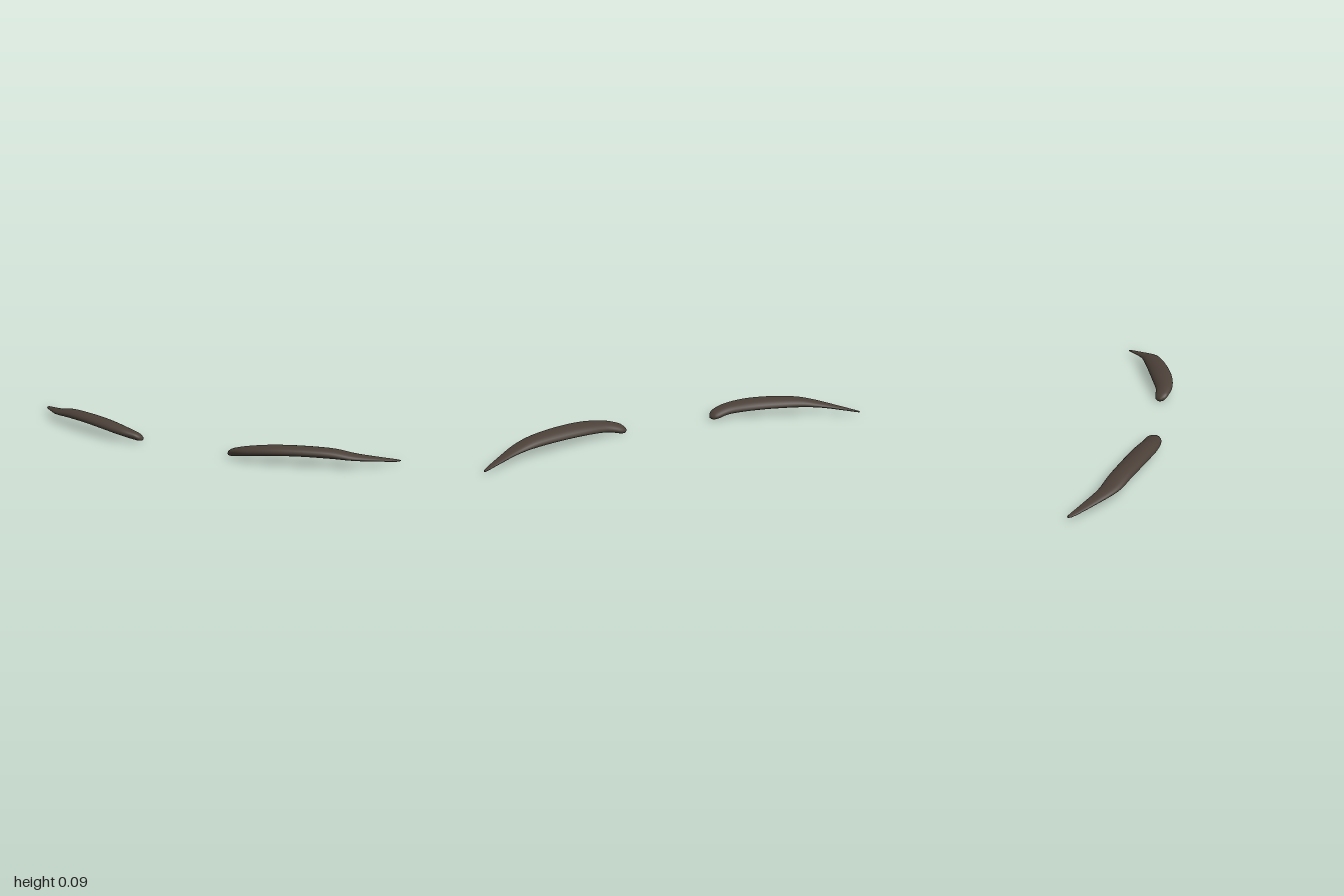
import * as THREE from 'three';

// Stations from inner end to outer tip:
// x, front edge z, y, back edge z, y, top y, underside y
const STATIONS = [
  [0.235, 0.106, 0.012, 0.094, 0.012, 0.018, 0.007],
  [0.245, 0.126, 0.02, 0.08, 0.011, 0.03, 0.002],
  [0.27, 0.14, 0.032, 0.07, 0.017, 0.045, 0.003],
  [0.34, 0.155, 0.045, 0.066, 0.034, 0.066, 0.018],
  [0.45, 0.146, 0.058, 0.035, 0.045, 0.082, 0.031],
  [0.58, 0.112, 0.064, 0.0, 0.05, 0.087, 0.037],
  [0.72, 0.064, 0.06, -0.038, 0.05, 0.081, 0.035],
  [0.82, 0.022, 0.046, -0.068, 0.038, 0.06, 0.03],
  [0.91, -0.055, 0.03, -0.115, 0.026, 0.038, 0.02],
  [0.985, -0.128, 0.016, -0.157, 0.015, 0.02, 0.011],
  [1.0, -0.152, 0.013, -0.158, 0.013, 0.015, 0.011],
];

const RINGS = 60;
const SIDES = 28;

// Smooth guide line through all stations
function guide(pick) {
  return new THREE.CatmullRomCurve3(
    STATIONS.map((s) => new THREE.Vector3(...pick(s))), false, 'catmullrom', 0.5);
}

// Loft of tilted oval sections; side is +1 or -1
function browGeometry(side) {
  const front = guide((s) => [s[0], s[2], s[1]]);
  const back = guide((s) => [s[0], s[4], s[3]]);
  const top = guide((s) => [s[0], s[5], (s[1] + s[3]) / 2]);
  const under = guide((s) => [s[0], s[6], (s[1] + s[3]) / 2]);
  const positions = [];
  const indices = [];
  const centres = [];
  const add = (p) => positions.push(p.x * side, p.y, p.z);
  const face = (a, b, c) => (side > 0 ? indices.push(a, b, c) : indices.push(a, c, b));

  for (let i = 0; i <= RINGS; i++) {
    const t = i / RINGS;
    const f = front.getPoint(t);
    const b = back.getPoint(t);
    const centre = f.clone().add(b).multiplyScalar(0.5);
    const across = f.clone().sub(centre);
    const up = top.getPoint(t).sub(centre);
    const down = under.getPoint(t).sub(centre);
    centres.push(centre);
    for (let j = 0; j < SIDES; j++) {
      const a = (j / SIDES) * Math.PI * 2;
      const s = Math.sin(a);
      add(centre.clone()
        .addScaledVector(across, Math.cos(a))
        .addScaledVector(s > 0 ? up : down, Math.abs(s)));
    }
  }
  for (let i = 0; i < RINGS; i++) {
    for (let j = 0; j < SIDES; j++) {
      const k = (j + 1) % SIDES;
      const a = i * SIDES + j, d = i * SIDES + k;
      face(a, a + SIDES, d);
      face(a + SIDES, d + SIDES, d);
    }
  }
  // Close both ends
  const inner = positions.length / 3;
  add(centres[0]);
  add(centres[RINGS]);
  for (let j = 0; j < SIDES; j++) {
    const k = (j + 1) % SIDES;
    face(inner, j, k);
    face(inner + 1, RINGS * SIDES + k, RINGS * SIDES + j);
  }
  const geometry = new THREE.BufferGeometry();
  geometry.setAttribute('position', new THREE.Float32BufferAttribute(positions, 3));
  geometry.setIndex(indices);
  geometry.computeVertexNormals();
  return geometry;
}

export function createModel() {
  const group = new THREE.Group();
  group.name = 'eyebrows';
  const hair = new THREE.MeshStandardMaterial({ color: 0x4b4038 });
  hair.name = 'dark brown';
  for (const [name, side] of [['leftEyebrow', 1], ['rightEyebrow', -1]]) {
    const brow = new THREE.Mesh(browGeometry(side), hair);
    brow.name = name;
    group.add(brow);
  }
  return group;
}
